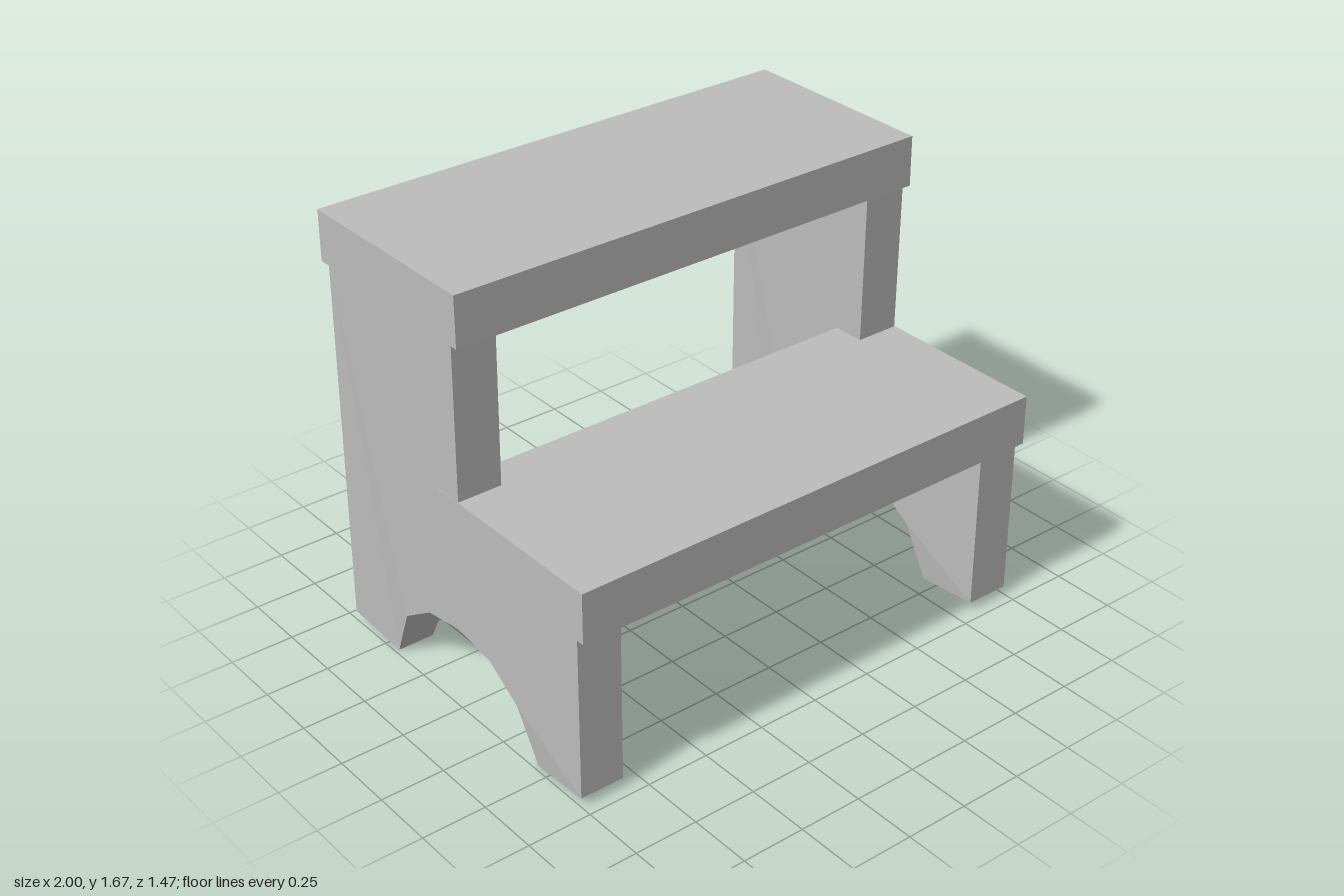
import * as THREE from 'three';

export function createModel() {
  const group = new THREE.Group();
  group.name = 'stepStool';
  const paint = new THREE.MeshStandardMaterial({ color: 0xbcbcbc });
  paint.name = 'greyPaint';

  // Treads: equal boards, the lower one running back under the upper
  const addTread = (name, top, z) => {
    const tread = new THREE.Mesh(new THREE.BoxGeometry(2, 0.196, 0.82), paint);
    tread.name = name;
    tread.position.set(0, top - 0.098, z);
    group.add(tread);
  };
  addTread('upperTread', 1.674, -0.326);
  addTread('lowerTread', 0.878, 0.325);

  // Side panel outline in (z, y): stepped front, arched cut-out between the feet
  const outline = [
    [0.70, 0.035], [0.70, 0.69], [0.70, 0.87], [0.042, 0.87], [0.05, 1.49],
    [-0.692, 1.49], [-0.70, 0.035], [-0.435, 0],
    [-0.34, 0.208], [-0.185, 0.308], [0, 0.338],
    [0.185, 0.308], [0.34, 0.208], [0.435, 0],
  ];
  const shape = new THREE.Shape(outline.map(([z, y]) => new THREE.Vector2(z, y)));
  const thickness = 0.176;
  const panelGeometry = new THREE.ExtrudeGeometry(shape, { depth: thickness, bevelEnabled: false });
  panelGeometry.translate(0, 0, -thickness / 2);
  panelGeometry.rotateY(-Math.PI / 2);

  // Slightly narrow the inner tips of the feet
  const position = panelGeometry.attributes.position;
  for (let i = 0; i < position.count; i++) {
    if (position.getY(i) < 0.01) position.setX(i, position.getX(i) * 0.83);
  }
  panelGeometry.computeVertexNormals();

  for (const [name, side] of [['leftPanel', 1], ['rightPanel', -1]]) {
    const panel = new THREE.Mesh(panelGeometry, paint);
    panel.name = name;
    panel.position.x = side * (0.998 - thickness / 2);
    group.add(panel);
  }
  return group;
}
